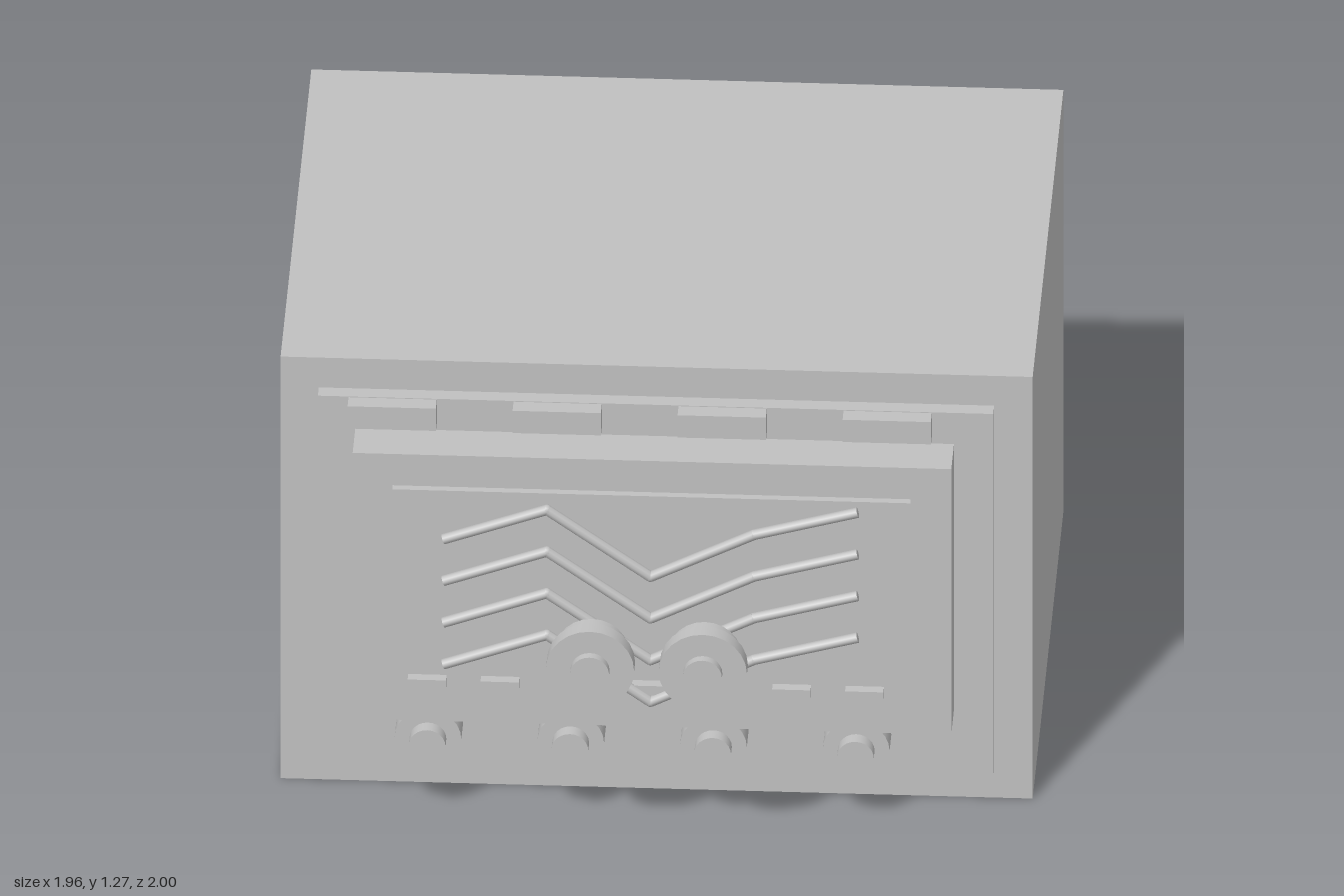
import * as THREE from 'three';

const grey = new THREE.MeshStandardMaterial({ color: 0xc0c0c0 });
grey.name = 'grey';

// Box given by its extents on each axis
function box(name, x0, x1, y0, y1, z0, z1) {
  const mesh = new THREE.Mesh(new THREE.BoxGeometry(x1 - x0, y1 - y0, z1 - z0), grey);
  mesh.position.set((x0 + x1) / 2, (y0 + y1) / 2, (z0 + z1) / 2);
  mesh.name = name;
  return mesh;
}

// Disc whose axis runs along z
function disc(name, r, z0, z1) {
  const geo = new THREE.CylinderGeometry(r, r, z1 - z0, 24).rotateX(Math.PI / 2);
  const mesh = new THREE.Mesh(geo, grey);
  mesh.position.z = (z0 + z1) / 2;
  mesh.name = name;
  return mesh;
}

// Round bar between two points
function rod(name, a, b, r) {
  const dir = b.clone().sub(a);
  const mesh = new THREE.Mesh(new THREE.CylinderGeometry(r, r, dir.length(), 10), grey);
  mesh.position.copy(a).add(b).multiplyScalar(0.5);
  mesh.quaternion.setFromUnitVectors(new THREE.Vector3(0, 1, 0), dir.normalize());
  mesh.name = name;
  return mesh;
}

function group(name, x, y, parts) {
  const g = new THREE.Group();
  g.name = name;
  g.position.set(x, y, 0);
  g.add(...parts);
  return g;
}

export function createModel() {
  const model = new THREE.Group();
  model.name = 'controlUnit';

  // Cabinet and stacked front panels
  model.add(
    box('cabinet', -0.98, 0.98, 0, 1.27, -1, 0.485),
    box('facePanel', -0.88, 0.88, 0.09, 1.185, 0.493, 0.536),
    box('door', -0.78, 0.78, 0.317, 1.117, 0.58, 0.71),
    box('displayPanel', -0.675, 0.675, 0.405, 1.03, 0.722, 0.743)
  );

  // Tabs along the top and knobs along the bottom
  for (let i = 0; i < 4; i++) {
    const tx = -0.685 + i * 0.43;
    model.add(box('topTab', tx - 0.115, tx + 0.115, 1.112, 1.184, 0.538, 0.585));
    model.add(group('knob', -0.587 + i * 0.372, 0.228, [
      disc('knobBase', 0.087, 0.565, 0.65),
      disc('knobCap', 0.048, 0.65, 0.69),
    ]));
  }

  // Row of small indicator bars
  for (let i = 0; i < 7; i++) {
    const bx = -0.583 + i * 0.19;
    model.add(box('indicator', bx - 0.05, bx + 0.05, 0.453, 0.481, 0.753, 0.782));
  }

  // Four zigzag rods with rounded joints
  const zigzag = [[-0.54, 0.906], [-0.27, 1.003], [0, 0.81], [0.27, 0.945], [0.54, 1.02]];
  for (let i = 0; i < 4; i++) {
    const pts = zigzag.map(([x, y]) => new THREE.Vector3(x, y, 0.781));
    const parts = [];
    for (let k = 0; k < 4; k++) {
      parts.push(rod('rodSegment', pts[k], pts[k + 1], 0.014));
      if (k > 0) {
        const joint = new THREE.Mesh(new THREE.SphereGeometry(0.014, 10, 8), grey);
        joint.position.copy(pts[k]);
        joint.name = 'rodJoint';
        parts.push(joint);
      }
    }
    model.add(group('zigzagRod', 0, -0.1255 * i, parts));
  }

  // Pair of large stepped dials
  for (const s of [-1, 1]) {
    model.add(group('dial', s * 0.147, 0.638, [
      disc('dialBase', 0.095, 0.875, 0.93),
      disc('dialRim', 0.115, 0.93, 0.976),
      disc('dialCap', 0.051, 0.976, 1),
    ]));
  }

  return model;
}
